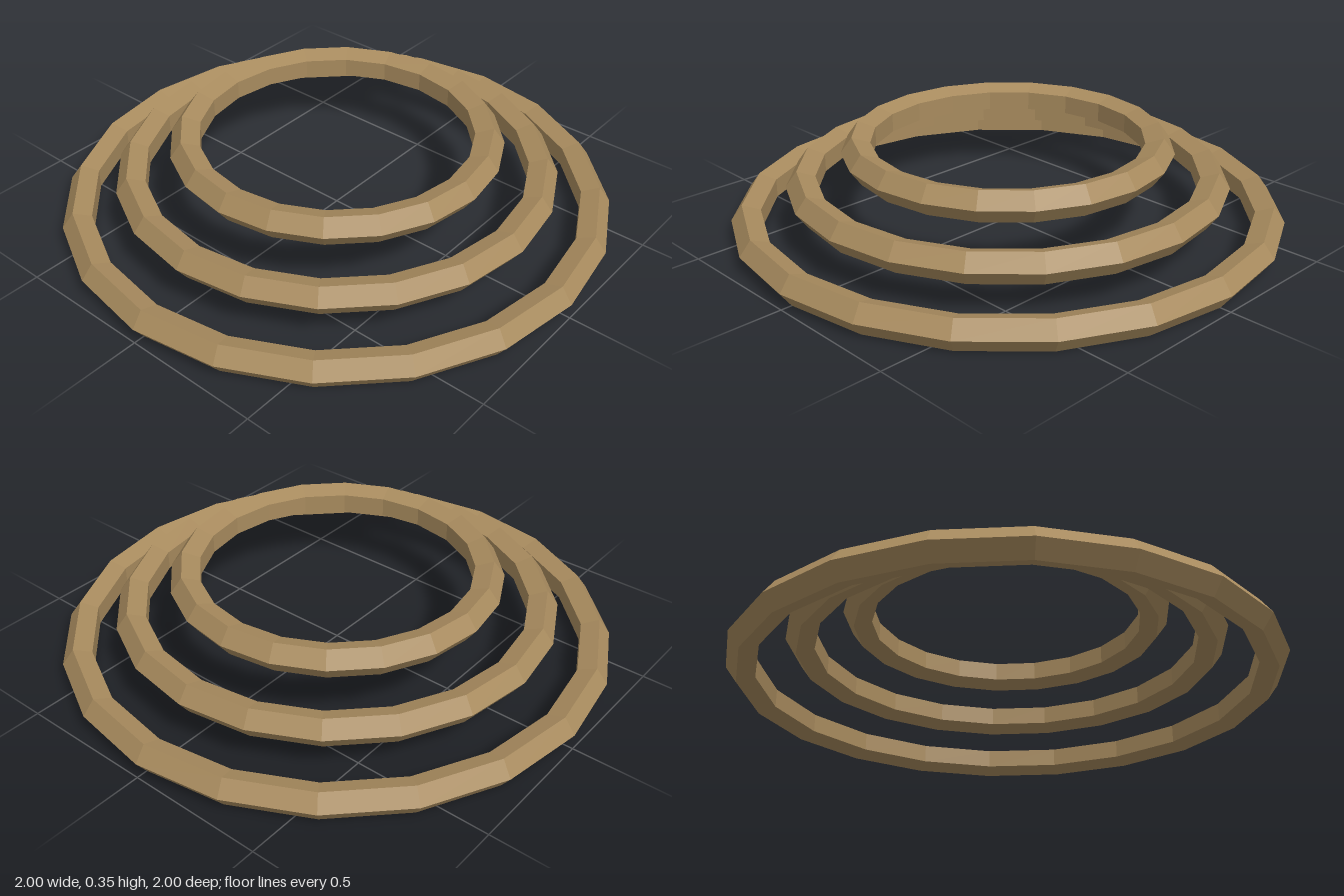
import * as THREE from 'three';

export function createModel() {
  const model = new THREE.Group();
  model.name = 'steppedRings';

  const bronze = new THREE.MeshStandardMaterial({ color: 0xa88b5e, flatShading: true });
  bronze.name = 'bronze';

  // Three stacked rings with five-sided sections, each narrower than the one below
  const tube = 1 / 17;
  const halfHeight = tube * Math.sin(Math.PI * 0.4);
  const names = ['lowerRing', 'middleRing', 'upperRing'];
  names.forEach((name, i) => {
    const outer = 1 - 0.2 * i;
    const geometry = new THREE.TorusGeometry(outer - tube, tube, 5, 20);
    geometry.rotateX(-Math.PI / 2);
    const ring = new THREE.Mesh(geometry, bronze);
    ring.name = name;
    ring.position.y = halfHeight + 2 * tube * i;
    model.add(ring);
  });

  return model;
}
